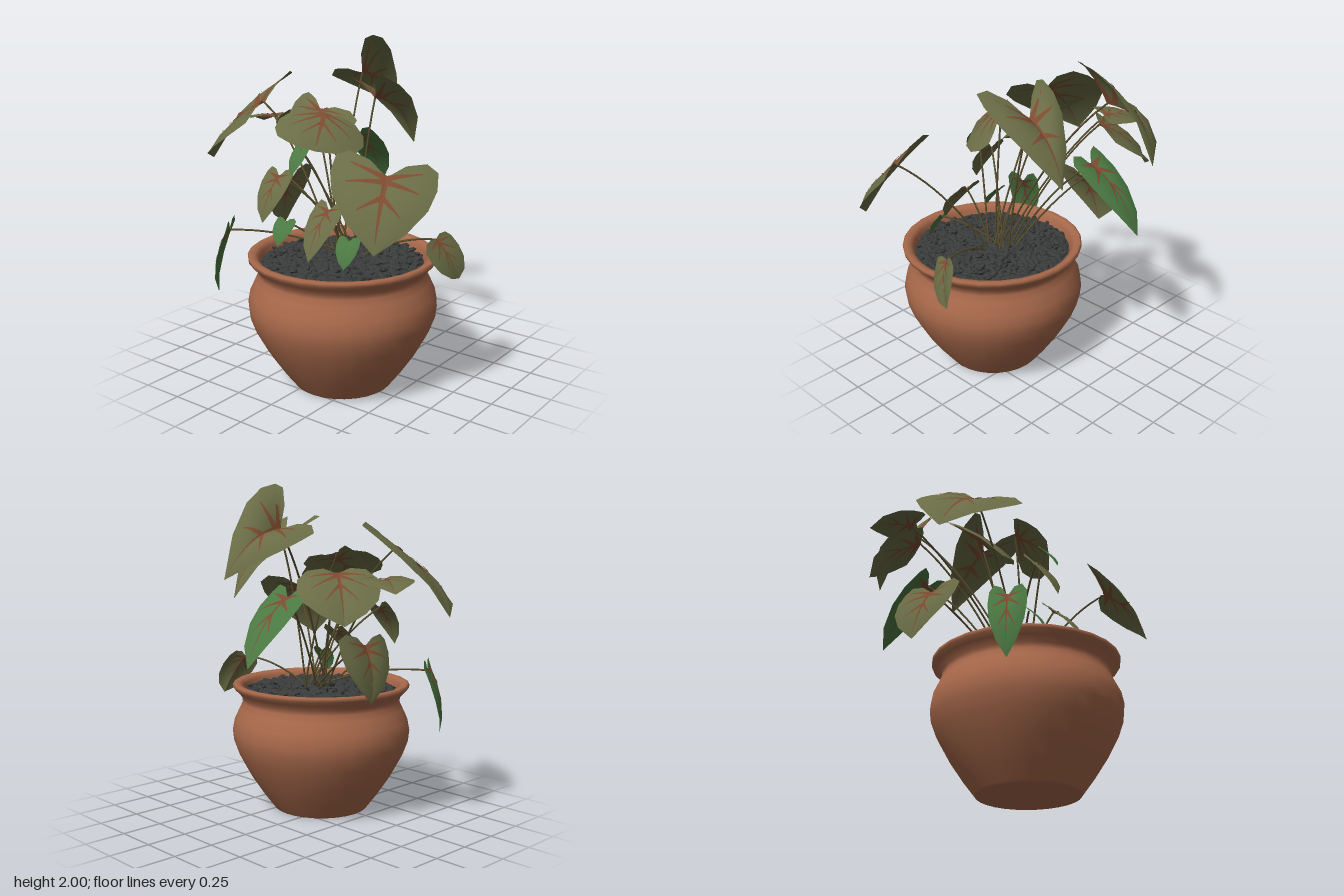
import * as THREE from 'three';
import { mergeGeometries } from 'three/addons/utils/BufferGeometryUtils.js';

const mat = (name, color, side = THREE.FrontSide) => {
  const m = new THREE.MeshStandardMaterial({ color, side });
  m.name = name;
  return m;
};
const V = (a) => new THREE.Vector3(...a);
const POT_X = 0.11, POT_Z = 0.22;

// Half outline of a heart-shaped leaf: s runs to the lobe, v runs to the tip
const OUTLINE = [[0, 0], [0.35, -0.11], [0.75, -0.12], [1, 0], [1.04, 0.25], [0.92, 0.52], [0.55, 0.8], [0, 1]];
const COLS = 4;

// Side veins: start v, end s, end v
const VEINS = [[0.03, 0.7, 0.02], [0.08, 0.7, 0.3], [0.3, 0.42, 0.6]];

// Large twisted leaves: notch, tip, one lobe, other lobe, arch
const LARGE = [
  [[-0.42, 1.63, 0.28], [-0.8, 1.26, 0.33], [-0.46, 1.77, -0.03], [-0.33, 1.55, 0.54], 0.4],
  [[-0.2, 1.75, -0.4], [-0.16, 1.49, -0.76], [-0.05, 2.0, -0.3], [-0.38, 1.73, -0.32], 0.8],
  [[0.11, 1.66, -0.1], [0.18, 1.35, -0.42], [-0.1, 1.82, 0.0], [0.32, 1.81, 0.1], 0.6],
  [[0.6, 1.36, 0.49], [0.68, 1.01, 0.72], [0.31, 1.45, 0.54], [0.81, 1.38, 0.33], 0.4],
  [[-0.41, 1.51, -0.17], [-0.64, 1.25, -0.35], [-0.31, 1.48, -0.38], [-0.58, 1.49, -0.04], 0.4],
  [[-0.18, 1.58, 0.05], [-0.18, 1.37, 0.28], [0.08, 1.54, 0.04], [-0.4, 1.64, -0.05], 0.4],
  [[0.0, 1.6, 0.24], [0.08, 1.42, 0.43], [0.2, 1.47, 0.14], [-0.2, 1.57, 0.4], 0.3],
  [[-0.47, 1.1, -0.01], [-0.57, 0.79, -0.06], [-0.45, 1.12, 0.18], [-0.47, 1.15, -0.22], 0.3],
  [[0.63, 0.92, 0.04], [0.73, 0.68, -0.06], [0.63, 0.86, 0.14], [0.67, 0.93, -0.06], 0.3],
];
// Smaller level leaves: notch, tip, width
const SMALL = [
  [[-0.62, 1.48, -0.04], [-0.83, 1.42, -0.17], 0.32],
  [[-0.14, 1.26, 0.48], [-0.14, 1.02, 0.63], 0.19],
  [[0.15, 1.09, 0.4], [0.16, 0.84, 0.6], 0.19],
];
const GREEN = [
  [[-0.17, 1.37, -0.32], [-0.21, 1.01, -0.65], 0.27],
  [[-0.48, 0.9, 0.54], [-0.55, 0.51, 0.58], 0.2],
  [[-0.14, 0.98, 0.43], [-0.13, 0.86, 0.52], 0.13],
  [[0.32, 0.95, 0.44], [0.34, 0.81, 0.52], 0.13],
  [[0.0, 1.42, 0.45], [0.0, 1.29, 0.54], 0.1],
];

// Lobes of a small leaf lie level, either side of the notch and a little behind it
function withLobes([notch, tip, width]) {
  const along = V(tip).sub(V(notch));
  const side = new THREE.Vector3(along.z, 0, -along.x).setLength(width / 2);
  const lobe = (k) => V(notch).addScaledVector(along, -0.08).addScaledVector(side, k).toArray();
  return [notch, tip, lobe(1), lobe(-1), 0.4];
}

// Triangulated sheet over rows x cols, with at(i, j) giving each point
function sheet(rows, cols, at) {
  const pos = [], index = [];
  for (let i = 0; i <= rows; i++)
    for (let j = 0; j <= cols; j++) pos.push(...at(i, j).toArray());
  for (let i = 0; i < rows; i++)
    for (let j = 0; j < cols; j++) {
      const a = i * (cols + 1) + j, b = a + cols + 1;
      index.push(a, b, a + 1, b, b + 1, a + 1);
    }
  const g = new THREE.BufferGeometry();
  g.setAttribute('position', new THREE.Float32BufferAttribute(pos, 3));
  g.setIndex(index);
  g.computeVertexNormals();
  return g;
}

// Upward normal of one half of a leaf
function halfNormal(notch, tip, lobe) {
  const p = V(notch), n = V(tip).sub(p).cross(V(lobe).sub(p)).normalize();
  return n.y < 0 ? n.negate() : n;
}

// One half of the blade, arched along the shared normal, plus vein strips on both faces
function halfLeaf(notch, tip, lobe, shared, arch) {
  const p = V(notch), along = V(tip).sub(p), across = V(lobe).sub(p);
  const n = halfNormal(notch, tip, lobe);
  const point = (s, v, lift = 0) => p.clone()
    .addScaledVector(along, v).addScaledVector(across, s)
    .addScaledVector(shared, along.length() * arch * Math.max(0, v * (1 - v)) * (1 - 0.3 * s))
    .addScaledVector(n, lift + across.length() * 0.25 * s * (1 - s));
  const last = OUTLINE.length - 1;
  const blade = sheet(last, COLS, (i, j) => {
    const k = j / COLS, [s, v] = OUTLINE[i], rib = (i / last) ** 1.7;
    return point(s * k, rib + (v - rib) * k);
  });
  const veins = [];
  for (const lift of [0.004, -0.004]) {
    veins.push(sheet(8, 1, (i, j) => point(j * 0.06 * (1 - i / 9), i * 0.11, lift)));
    for (const [v0, s1, v1] of VEINS)
      veins.push(sheet(5, 1, (i, j) => {
        const t = i / 5;
        return point(s1 * t, v0 + (v1 - v0) * t + (j - 0.5) * 0.09 * (1 - 0.85 * t), lift);
      }));
  }
  return { blade, veins };
}

// Arching stalk from the soil to the leaf notch
function stalk(notch, i) {
  const end = V(notch), a = i * 2.4;
  const start = new THREE.Vector3(0.1 + 0.07 * Math.cos(a), 0.74, 0.16 + 0.07 * Math.sin(a));
  const mid = start.clone().lerp(end, 0.5);
  mid.y = Math.max(start.y + (end.y - start.y) * 0.72, 0.92);
  return new THREE.TubeGeometry(new THREE.QuadraticBezierCurve3(start, mid, end), 12, 0.006, 5);
}

// Flattened stones spread in a spiral over the soil
function pebbles() {
  let seed = 7;
  const rnd = () => (seed = (seed * 16807) % 2147483647) / 2147483647;
  const list = [], o = new THREE.Object3D(), count = 520;
  for (let i = 0; i < count; i++) {
    const r = 0.455 * Math.sqrt((i + 0.5) / count), a = i * 2.39996;
    o.position.set(POT_X + r * Math.cos(a), 0.765 - 0.07 * r + rnd() * 0.02, POT_Z + r * Math.sin(a));
    o.rotation.set(rnd() - 0.5, rnd() * 6.28, rnd() - 0.5);
    o.scale.set(0.033 + rnd() * 0.016, 0.012 + rnd() * 0.008, 0.017 + rnd() * 0.008);
    o.updateMatrix();
    list.push(new THREE.IcosahedronGeometry(1, 0).applyMatrix4(o.matrix));
  }
  return mergeGeometries(list);
}

export function createModel() {
  const root = new THREE.Group();
  root.name = 'pottedPlant';
  const terracotta = mat('terracotta', 0xa8694b);
  const gravel = mat('dark gravel', 0x393c3b);
  const olive = mat('olive leaf', 0x696c45, THREE.DoubleSide);
  const green = mat('green leaf', 0x4b7842, THREE.DoubleSide);
  const red = mat('red vein', 0x7d4a30, THREE.DoubleSide);
  const bark = mat('brown stalk', 0x584e2e);
  const add = (name, geo, material, parent = root) => {
    const m = new THREE.Mesh(geo, material);
    m.name = name;
    parent.add(m);
    return m;
  };

  // Pot: outer wall, rolled rim and inner wall in one profile
  const profile = [[0, 0], [0.295, 0], [0.302, 0.01], [0.37, 0.1], [0.45, 0.22], [0.515, 0.34], [0.548, 0.43],
    [0.556, 0.5], [0.543, 0.57], [0.51, 0.64], [0.492, 0.68], [0.495, 0.71], [0.525, 0.745], [0.55, 0.77],
    [0.552, 0.79], [0.54, 0.798], [0.51, 0.793], [0.485, 0.77], [0.47, 0.68]];
  const pot = add('pot', new THREE.LatheGeometry(profile.map((q) => new THREE.Vector2(...q)), 28), terracotta);
  pot.position.set(POT_X, 0, POT_Z);

  // Soil bed with pebbles on top
  const soil = add('soil', new THREE.CylinderGeometry(0.478, 0.47, 0.05, 28), gravel);
  soil.position.set(POT_X, 0.71, POT_Z);
  add('pebbles', pebbles(), gravel);

  // Leaves and stalks; all but the smallest sprouts have red veins
  const oliveLeaves = [...LARGE, ...SMALL.map(withLobes)];
  [...oliveLeaves, ...GREEN.map(withLobes)].forEach(([notch, tip, lobeA, lobeB, arch], i) => {
    const leaf = new THREE.Group();
    leaf.name = 'leaf' + (i + 1);
    const lobes = [lobeA, lobeB];
    const shared = halfNormal(notch, tip, lobeA).add(halfNormal(notch, tip, lobeB)).normalize();
    const halves = lobes.map((lobe) => halfLeaf(notch, tip, lobe, shared, arch));
    halves.forEach((h) => add('blade', h.blade, i < oliveLeaves.length ? olive : green, leaf));
    if (V(notch).distanceTo(V(tip)) > 0.22)
      add('veins', mergeGeometries(halves.flatMap((h) => h.veins)), red, leaf);
    add('stalk', stalk(notch, i), bark, leaf);
    root.add(leaf);
  });
  return root;
}
